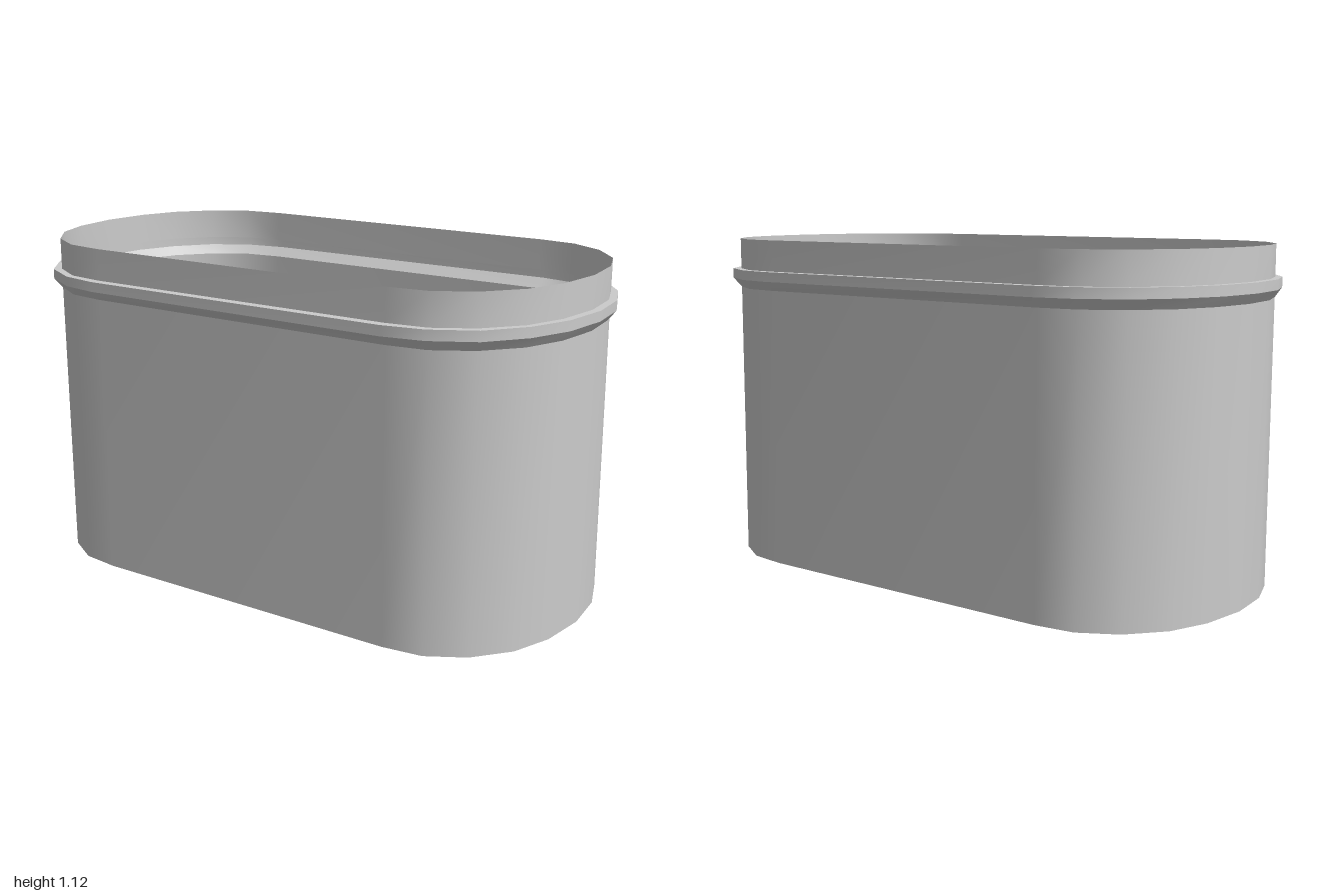
import * as THREE from 'three';

const material = new THREE.MeshStandardMaterial({ color: 0xcccccc, side: THREE.DoubleSide });

// One quarter of the wall outline and of the flange outline, end tip to straight side: [x, z]
const wallQuarter = [[0.974, 0], [0.955, 0.165], [0.905, 0.30], [0.81, 0.415], [0.69, 0.485], [0.555, 0.502]];
const flangeQuarter = [[1, 0], [0.98, 0.17], [0.925, 0.31], [0.83, 0.435], [0.695, 0.51], [0.558, 0.534]];

// Mirror a quarter into the closed oval, running from +x through +z
function oval(quarter) {
  const half = [...quarter, ...quarter.slice(1).reverse().map(([x, z]) => [-x, z])];
  half.push([-quarter[0][0], 0]);
  return [...half, ...half.slice(1, -1).reverse().map(([x, z]) => [x, -z])];
}

// A sheet between two ovals; smooth around, creased against its neighbours
function band(name, lower, y0, upper, y1, lean = 0) {
  const n = lower.length, positions = [], index = [];
  for (const [x, z] of lower) positions.push(x + lean, y0, z);
  for (const [x, z] of upper) positions.push(x, y1, z);
  for (let i = 0; i < n; i++) {
    const j = (i + 1) % n;
    index.push(i, n + i, j, j, n + i, n + j);
  }
  const geometry = new THREE.BufferGeometry();
  geometry.setAttribute('position', new THREE.Float32BufferAttribute(positions, 3));
  geometry.setIndex(index);
  geometry.computeVertexNormals();
  const mesh = new THREE.Mesh(geometry, material);
  mesh.name = name;
  return mesh;
}

export function createModel() {
  const group = new THREE.Group();
  group.name = 'ovalSleeve';
  const wall = oval(wallQuarter), flange = oval(flangeQuarter);

  // Open-ended body, very slightly out of plumb
  group.add(band('bodyWall', wall, 0, wall, 0.95, 0.004));

  // Hollow bead pressed out of the wall
  group.add(band('flangeUnderside', wall, 0.95, flange, 0.982));
  group.add(band('flangeEdge', flange, 0.982, flange, 1.015));
  group.add(band('flangeTop', flange, 1.015, wall, 1.015));

  // Collar above the bead
  group.add(band('collar', wall, 1.015, wall, 1.12));
  return group;
}
